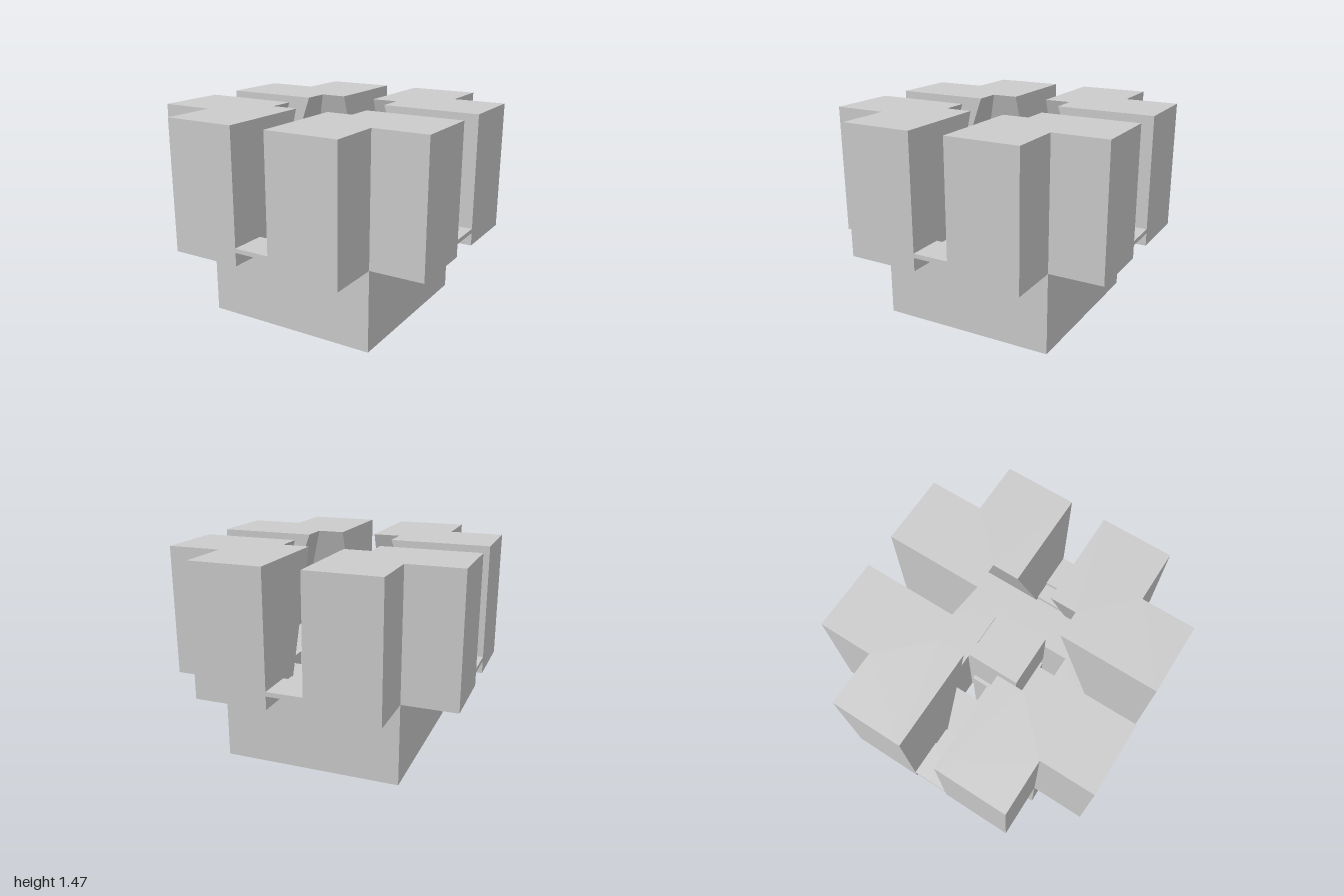
import * as THREE from 'three';

const material = new THREE.MeshStandardMaterial({ color: 0xcccccc, flatShading: true });
const SLOT = 0.125, CORE = 0.625, THROAT = 0.3125, POST = 0.1875, RIB = 0.0625;

// Turn a 2D outline by quarter turns
function turn(points, quarter) {
  return points.map(([x, y]) => {
    const v = new THREE.Vector2(x, y);
    for (let i = 0; i < quarter; i++) v.set(-v.y, v.x);
    return v;
  });
}

// Upright prism between two heights
function prism(shape, y0, y1) {
  const g = new THREE.ExtrudeGeometry(shape, { depth: y1 - y0, bevelEnabled: false });
  return g.rotateX(-Math.PI / 2).translate(0, y0, 0);
}

function add(parent, name, geometry) {
  const mesh = new THREE.Mesh(geometry, material);
  mesh.name = name;
  parent.add(mesh);
  return mesh;
}

// Outline pierced by four L-shaped shafts around the middle post
function pierced(outline) {
  const shape = new THREE.Shape(outline);
  const shaft = [[RIB, POST], [POST, POST], [POST, RIB], [THROAT, RIB], [THROAT, THROAT], [RIB, THROAT]];
  for (let q = 0; q < 4; q++) shape.holes.push(new THREE.Path(turn(shaft, q)));
  return shape;
}

// Corner tower: L-shaped outside, inner faces lean outward toward the bottom
function towerGeometry() {
  const c = THROAT, y0 = 0.6, y1 = 1.47;
  const outline = [[c, SLOT], [1, SLOT], [1, CORE], [CORE, CORE], [CORE, 1], [SLOT, 1], [SLOT, c], [c, c]];
  const g = prism(new THREE.Shape(turn(outline, 0)), y0, y1);
  const p = g.attributes.position;
  for (let i = 0; i < p.count; i++) {
    if (p.getY(i) > 1) continue;
    if (Math.abs(p.getX(i) - c) < 1e-4) p.setX(i, 0.62);
    if (Math.abs(p.getZ(i) + c) < 1e-4) p.setZ(i, -0.62);
  }
  g.computeVertexNormals();
  return g;
}

export function createModel() {
  const model = new THREE.Group();
  model.name = 'slottedBlock';

  // Square base
  const corner = [[CORE, CORE]];
  const square = [0, 1, 2, 3].flatMap(q => turn(corner, q));
  add(model, 'base', prism(pierced(square), 0, 0.57));

  // Cross-shaped floor, notched at the end of each arm
  const arm = [[CORE, -CORE], [1, -CORE], [1, -SLOT], [0.75, -SLOT], [0.75, SLOT], [1, SLOT], [1, CORE]];
  const cross = [0, 1, 2, 3].flatMap(q => turn(arm, q));
  add(model, 'crossFloor', prism(pierced(cross), 0.57, 0.63));

  // Four towers, with two stepped sill plates in each slot
  const tower = towerGeometry();
  const lowSill = new THREE.BoxGeometry(0.25, 0.03, 2 * SLOT).translate(0.75, 0.645, 0);
  const highSill = new THREE.BoxGeometry(0.25, 0.03, 2 * SLOT).translate(0.875, 0.675, 0);
  for (let q = 0; q < 4; q++) {
    const quarter = new THREE.Group();
    quarter.name = 'quarter' + (q + 1);
    add(quarter, 'tower', tower);
    add(quarter, 'lowerSill', lowSill);
    add(quarter, 'upperSill', highSill);
    quarter.rotation.y = q * Math.PI / 2;
    model.add(quarter);
  }

  // Cube floating in the chamber
  const cube = add(model, 'centreCube', new THREE.BoxGeometry(2 * POST, 2 * POST, 2 * POST));
  cube.position.y = 0.922;

  return model;
}
